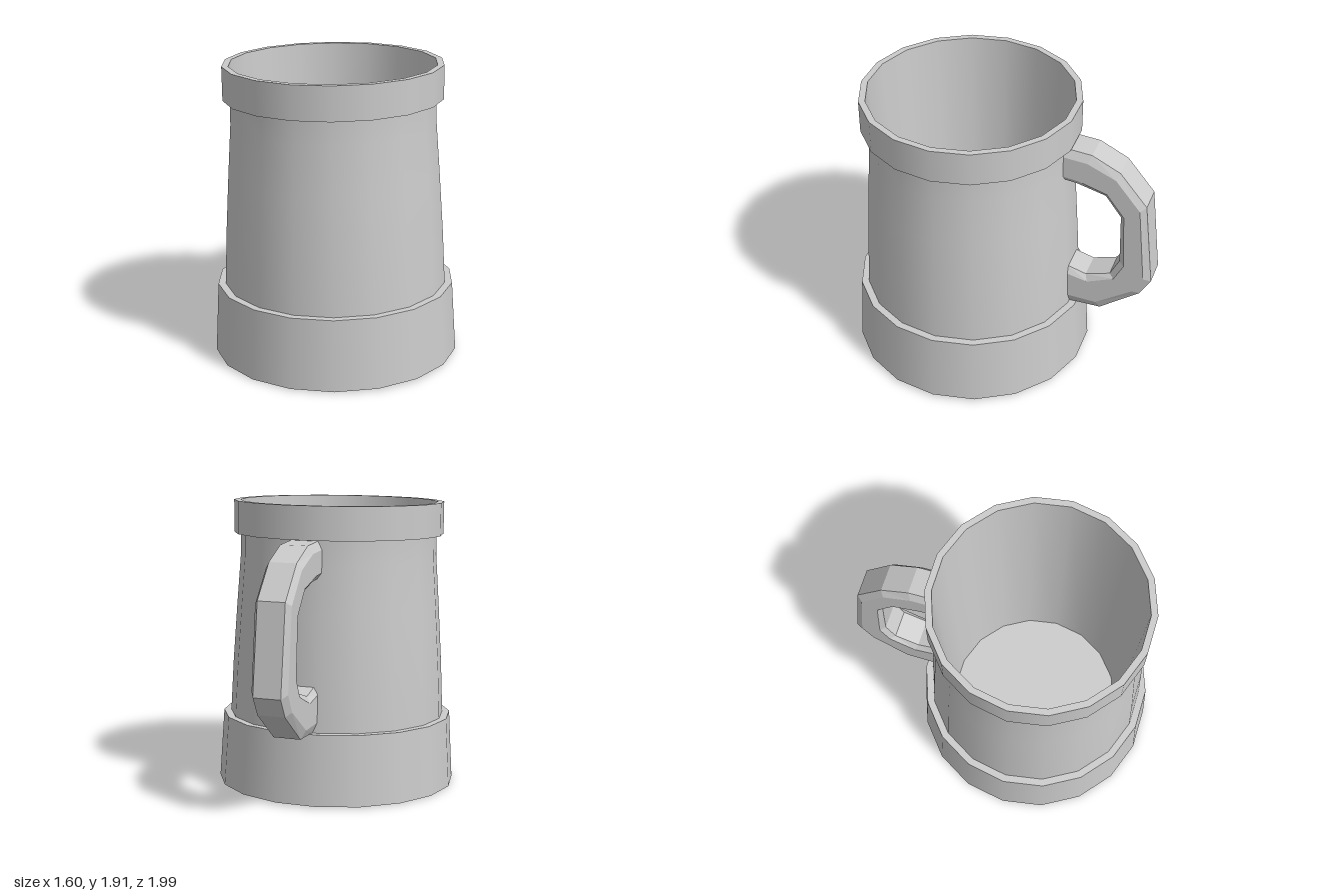
import * as THREE from 'three';

const material = new THREE.MeshStandardMaterial({ color: 0xcccccc });
const flatMaterial = new THREE.MeshStandardMaterial({ color: 0xcccccc, flatShading: true });
const SIDES = 18;

// Each strip is turned separately so that the edges between strips stay sharp
function turned(name, points) {
  const profile = points.map(([r, y]) => new THREE.Vector2(r, y));
  const mesh = new THREE.Mesh(new THREE.LatheGeometry(profile, SIDES, Math.PI / 2), material);
  mesh.name = name;
  return mesh;
}

// Bevelled bar swept through stations of [outer distance, outer y, inner distance, inner y]
function handleGeometry(stations) {
  // Cross-section: [fraction from outer to inner, half width]
  const section = [
    [0, -0.09], [0, 0.09], [0.22, 0.118], [0.84, 0.118],
    [1, 0.09], [1, -0.09], [0.84, -0.118], [0.22, -0.118],
  ];
  const n = section.length;
  const last = (stations.length - 1) * n;
  const positions = [];
  const index = [];
  stations.forEach(([so, yo, si, yi], i) => {
    for (const [f, w] of section) {
      positions.push(w, yo + (yi - yo) * f, -(so + (si - so) * f));
    }
    if (i === 0) return;
    for (let k = 0; k < n; k++) {
      const a = (i - 1) * n + k;
      const b = (i - 1) * n + (k + 1) % n;
      index.push(a, b, b + n, a, b + n, a + n);
    }
  });
  // End caps
  for (let k = 1; k < n - 1; k++) {
    index.push(0, k + 1, k, last, last + k, last + k + 1);
  }
  const geometry = new THREE.BufferGeometry();
  geometry.setAttribute('position', new THREE.Float32BufferAttribute(positions, 3));
  geometry.setIndex(index);
  geometry.computeVertexNormals();
  return geometry;
}

export function createModel() {
  const model = new THREE.Group();
  model.name = 'tankard';

  // The whole tankard leans very slightly sideways
  const tankard = new THREE.Group();
  tankard.name = 'leaningTankard';
  tankard.position.set(0, 0.009, 0.21);
  tankard.rotation.z = 0.0115;
  model.add(tankard);

  // Outside from the bottom up, then down the inside
  tankard.add(
    turned('underside', [[0, 0], [0.8, 0]]),
    turned('baseBand', [[0.8, 0], [0.772, 0.46]]),
    turned('baseLedge', [[0.772, 0.46], [0.724, 0.46]]),
    turned('body', [[0.724, 0.46], [0.708, 0.8], [0.682, 1.2], [0.659, 1.52], [0.657, 1.677]]),
    turned('rimBandUnderside', [[0.657, 1.677], [0.703, 1.677]]),
    turned('rimBand', [[0.703, 1.677], [0.703, 1.893]]),
    turned('rim', [[0.703, 1.893], [0.661, 1.893]]),
    turned('innerWall', [[0.661, 1.893], [0.575, 0.1]]),
    turned('innerFloor', [[0.575, 0.1], [0, 0.1]]),
  );

  // Handle at the back, swung towards the left
  const handle = new THREE.Mesh(handleGeometry([
    [0.65, 1.672, 0.65, 1.437],
    [0.825, 1.657, 0.735, 1.427],
    [1.01, 1.567, 0.925, 1.377],
    [1.19, 1.352, 1.03, 1.237],
    [1.255, 0.777, 1.04, 0.887],
    [1.185, 0.657, 0.98, 0.767],
    [0.925, 0.463, 0.82, 0.717],
    [0.7, 0.463, 0.7, 0.752],
  ]), flatMaterial);
  handle.name = 'handle';
  handle.rotation.y = -0.358;
  tankard.add(handle);

  return model;
}
